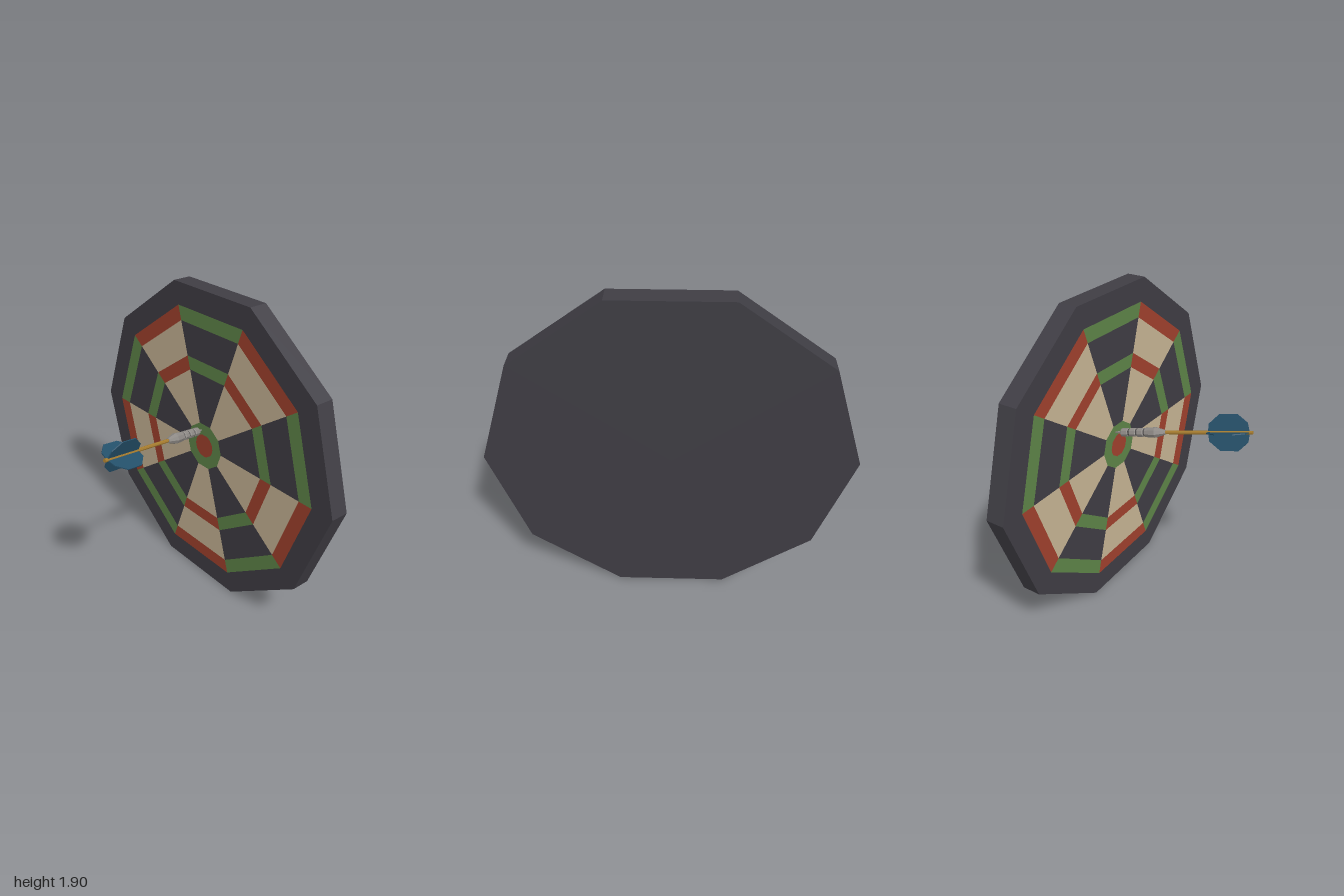
import * as THREE from 'three';

const mat = (name, color, side = THREE.FrontSide) =>
  Object.assign(new THREE.MeshStandardMaterial({ color, flatShading: true, side }), { name });

export function createModel() {
  const black = mat('charcoal', 0x3f3d44);
  const cream = mat('cream', 0xc6b494);
  const red = mat('red', 0xa0412d);
  const green = mat('green', 0x5e8448);
  const steel = mat('steel', 0x8c8884);
  const groove = mat('dark steel', 0x4c4a4a);
  const brass = mat('brass', 0xa67c2e);
  const blue = mat('flight blue', 0x24506a);

  const model = new THREE.Group();
  const add = (parent, name, geometry, material) => {
    const mesh = new THREE.Mesh(geometry, material);
    mesh.name = name;
    parent.add(mesh);
    return mesh;
  };

  // Ten-sided board with a corner on +x
  const board = new THREE.Group();
  board.name = 'board';
  board.position.set(0, 0.951, -0.411);
  model.add(board);
  const body = new THREE.CylinderGeometry(1, 1, 0.114, 10, 1, false, Math.PI / 2);
  add(board, 'boardBody', body.rotateX(Math.PI / 2), black);

  // Painted fields: straight-sided slices between two corner radii
  const step = Math.PI / 5;
  const field = (name, k, r0, r1, material) => {
    const a = k * step, b = a + step;
    const at = (r, t) => new THREE.Vector2(r * Math.cos(t), r * Math.sin(t));
    const shape = new THREE.Shape([at(r0, a), at(r1, a), at(r1, b), at(r0, b)]);
    add(board, name, new THREE.ShapeGeometry(shape), material).position.z = 0.0585;
  };
  for (let k = 0; k < 10; k++) {
    const odd = k % 2 === 1;
    field('outerRing', k, 0.77, 0.86, odd ? red : green);
    field('innerRing', k, 0.478, 0.562, odd ? red : green);
    if (odd) {
      field('outerField', k, 0.562, 0.77, cream);
      field('innerField', k, 0.15, 0.478, cream);
    }
    field('bullRing', k, 0.075, 0.15, green);
  }
  add(board, 'bullseye', new THREE.CircleGeometry(0.075, 20), red).position.z = 0.0585;

  // Dart: built along +y from its point, then aimed from the board to its tail
  const tip = new THREE.Vector3(-0.03, 1.048, -0.36);
  const tail = new THREE.Vector3(0.138, 1.209, 0.464);
  const length = tip.distanceTo(tail);
  const aim = new THREE.Group();
  aim.name = 'dart';
  aim.position.copy(tip);
  aim.lookAt(tail);
  model.add(aim);
  const dart = new THREE.Group();
  dart.rotation.x = Math.PI / 2;
  aim.add(dart);

  const lathe = (name, points, material, sides = 8) =>
    add(dart, name, new THREE.LatheGeometry(points.map(([r, y]) => new THREE.Vector2(r, y)), sides), material);

  lathe('point', [[0, -0.01], [0.006, 0.015], [0.009, 0.055]], steel, 6);
  // Barrel with three grooves
  const starts = [0.048, 0.103, 0.153, 0.203];
  starts.forEach((y, i) => {
    const end = i < 3 ? starts[i + 1] - 0.008 : 0.27;
    const r = 0.026 + i * 0.001;
    const profile = i < 3
      ? [[0, y], [r - 0.005, y], [r, y + 0.006], [r, end - 0.004], [r - 0.004, end], [0, end]]
      : [[0, y], [r - 0.004, y], [r, y + 0.005], [0.033, end], [0.014, 0.334], [0, 0.334]];
    lathe('barrelSection', profile, steel);
    if (i < 3) lathe('barrelGroove', [[0.021, end - 0.002], [0.021, end + 0.01]], groove);
  });
  lathe('shaft', [[0, 0.32], [0.011, 0.32], [0.011, length], [0, length]], brass);

  // Four flights around the shaft
  const outline = [[0, 0.595], [0.05, 0.6], [0.104, 0.665], [0.104, 0.77], [0.055, 0.828], [0, 0.838]];
  const fin = new THREE.ExtrudeGeometry(
    new THREE.Shape(outline.map(([r, y]) => new THREE.Vector2(r, y))), { depth: 0.006, bevelEnabled: false });
  fin.translate(0, 0, -0.003);
  for (let i = 0; i < 4; i++) {
    add(dart, 'flight', fin, blue).rotation.y = -0.35 + i * Math.PI / 2;
  }
  return model;
}
